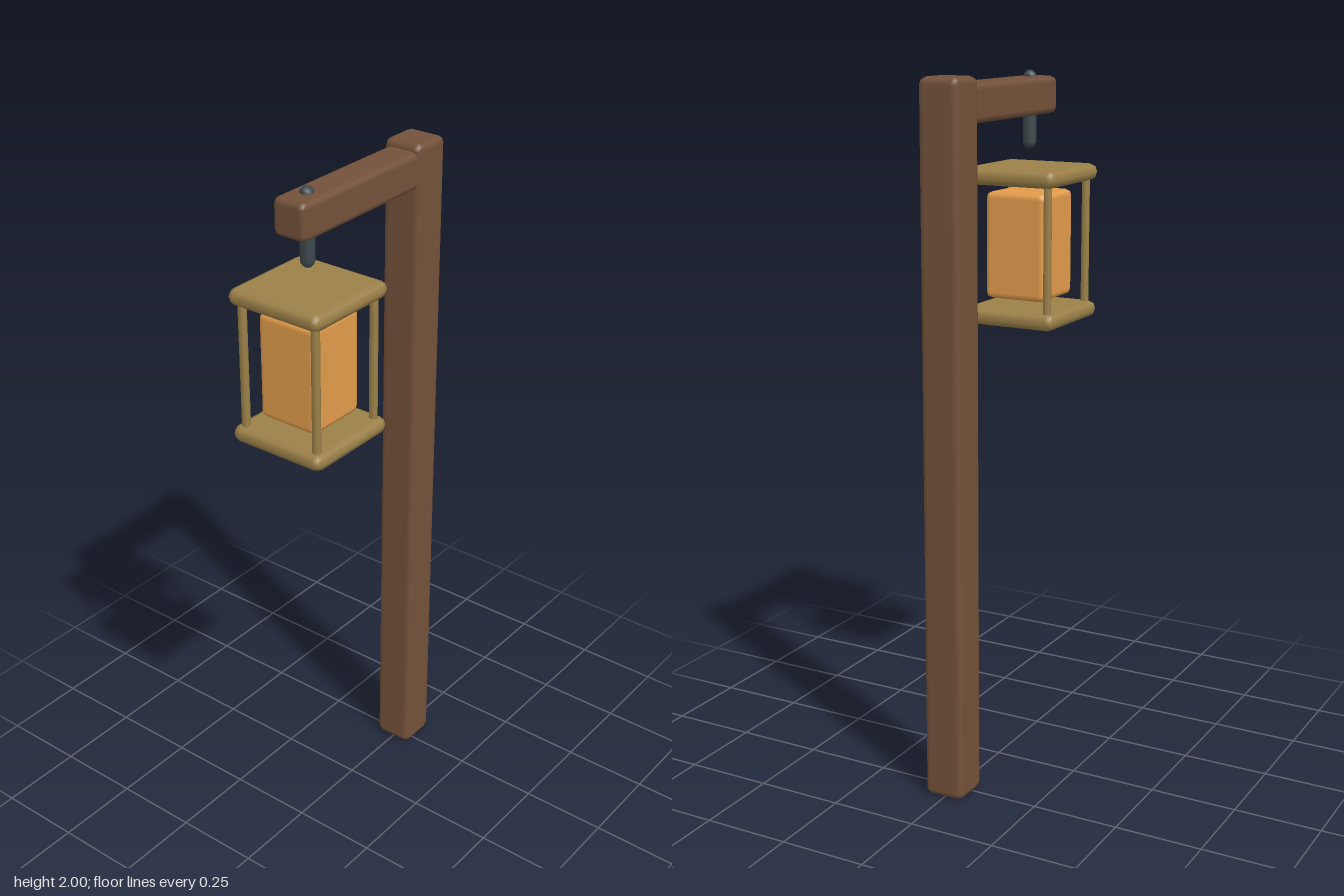
import * as THREE from 'three';
import { RoundedBoxGeometry } from 'three/addons/geometries/RoundedBoxGeometry.js';

const wood = new THREE.MeshStandardMaterial({ color: 0x74523a });
const brass = new THREE.MeshStandardMaterial({ color: 0x9c8149 });
const glow = new THREE.MeshStandardMaterial({ color: 0xe39c4c });
const iron = new THREE.MeshStandardMaterial({ color: 0x3c474c });

function part(parent, name, geometry, material, x, y, z = 0) {
  const mesh = new THREE.Mesh(geometry, material);
  mesh.name = name;
  mesh.position.set(x, y, z);
  parent.add(mesh);
  return mesh;
}

// Box with softly bevelled edges
const block = (w, h, d, r) => new RoundedBoxGeometry(w, h, d, 1, r);

export function createModel() {
  const model = new THREE.Group();
  model.name = 'lanternPost';

  // Wooden post and arm
  part(model, 'post', block(0.12, 2, 0.12, 0.02), wood, 0.27, 1);
  part(model, 'arm', block(0.53, 0.104, 0.104, 0.018), wood, 0.008, 1.928);

  // Iron hanger pin passing through the arm
  part(model, 'hanger', new THREE.CapsuleGeometry(0.02, 0.178, 3, 8), iron, -0.182, 1.889);

  // Hanging lantern
  const lantern = new THREE.Group();
  lantern.name = 'lantern';
  lantern.position.set(-0.182, 1.512, 0);
  model.add(lantern);

  part(lantern, 'topPlate', block(0.3, 0.048, 0.3, 0.023), brass, 0, 0.198);
  part(lantern, 'bottomPlate', block(0.3, 0.048, 0.3, 0.023), brass, 0, -0.198);
  part(lantern, 'lampGlass', block(0.188, 0.304, 0.188, 0.018), glow, 0, 0);

  // Four corner rods
  const rod = new THREE.CylinderGeometry(0.012, 0.012, 0.38, 8);
  for (const sx of [-1, 1]) {
    for (const sz of [-1, 1]) part(lantern, 'cornerRod', rod, brass, sx * 0.12, 0, sz * 0.12);
  }

  return model;
}
